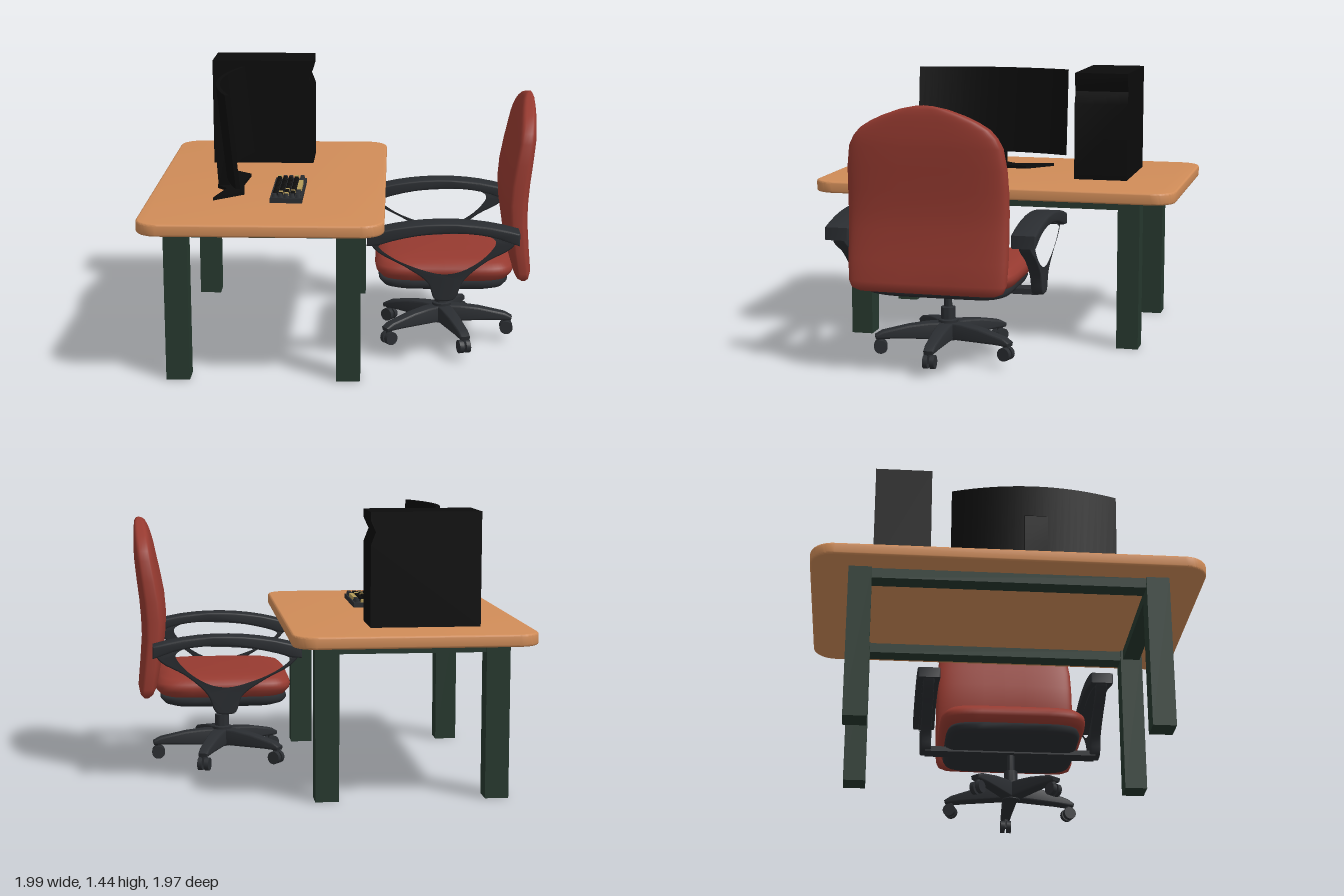
import * as THREE from 'three';
import { toCreasedNormals } from 'three/addons/utils/BufferGeometryUtils.js';

const material = (color) => new THREE.MeshStandardMaterial({ color });
const WOOD = material(0xd08c58), GREEN = material(0x26382e), RED = material(0x963a30);
const DARK = material(0x2a2d31), BLACK = material(0x0b0b0b), GOLD = material(0xb39a58);

function add(parent, name, geometry, mat, x = 0, y = 0, z = 0) {
  const mesh = new THREE.Mesh(geometry, mat);
  mesh.name = name;
  mesh.position.set(x, y, z);
  parent.add(mesh);
  return mesh;
}

function group(parent, name, x = 0, y = 0, z = 0) {
  const g = new THREE.Group();
  g.name = name;
  g.position.set(x, y, z);
  parent.add(g);
  return g;
}

// Box given by its limits on each axis
function block(parent, name, mat, [x0, x1], [y0, y1], [z0, z1]) {
  return add(parent, name, new THREE.BoxGeometry(x1 - x0, y1 - y0, z1 - z0), mat,
    (x0 + x1) / 2, (y0 + y1) / 2, (z0 + z1) / 2);
}

const polygon = (pts) => new THREE.Shape(pts.map(([x, y]) => new THREE.Vector2(x, y)));

// Smooth closed outline through a few points
function smoothOutline(pts, n = 48) {
  const curve = new THREE.CatmullRomCurve3(pts.map(([x, y]) => new THREE.Vector3(x, y, 0)), true);
  return curve.getPoints(n).slice(0, n).map((p) => new THREE.Vector2(p.x, p.y));
}

// Extrusion centred on z = 0, total thickness includes the bevel
function slab(shape, thickness, bevel = 0) {
  const g = new THREE.ExtrudeGeometry(shape, {
    depth: thickness - 2 * bevel, bevelEnabled: bevel > 0, bevelSize: bevel,
    bevelThickness: bevel, bevelOffset: -bevel, bevelSegments: 3, curveSegments: 10,
  });
  g.translate(0, 0, -thickness / 2 + bevel);
  return toCreasedNormals(g, 0.6);
}

// Padded form lofted upward through superellipse rings: [y, centreX, radiusX, radiusZ]
function cushion(rows, power, n = 64) {
  const pos = [], index = [];
  const bend = (v) => Math.sign(v) * Math.abs(v) ** (2 / power);
  rows.forEach(([y, cx, rx, rz], i) => {
    for (let j = 0; j < n; j++) {
      const a = (j / n) * Math.PI * 2;
      pos.push(cx + rx * bend(Math.cos(a)), y, rz * bend(Math.sin(a)));
      if (i === rows.length - 1) continue;
      const p = i * n + j, q = i * n + ((j + 1) % n);
      index.push(p, p + n, q, q, p + n, q + n);
    }
  });
  const g = new THREE.BufferGeometry();
  g.setAttribute('position', new THREE.Float32BufferAttribute(pos, 3));
  g.setIndex(index);
  g.computeVertexNormals();
  return g;
}

function buildDesk(root) {
  const desk = group(root, 'desk');
  const w = 0.61, d = 0.985, r = 0.12;
  const s = new THREE.Shape();
  s.absarc(w - r, d - r, r, 0, Math.PI / 2);
  s.absarc(-w + r, d - r, r, Math.PI / 2, Math.PI);
  s.absarc(-w + r, -d + r, r, Math.PI, Math.PI * 1.5);
  s.absarc(w - r, -d + r, r, Math.PI * 1.5, Math.PI * 2);
  add(desk, 'deskTop', slab(s, 0.062, 0.01).rotateX(-Math.PI / 2), WOOD, -0.39, 0.829, -0.003);
  for (const x of [-0.82, 0.04]) {
    for (const z of [-0.74, 0.74])
      block(desk, 'deskLeg', GREEN, [x - 0.06, x + 0.06], [0, 0.8], [z - 0.058, z + 0.058]);
    block(desk, 'sideRail', GREEN, [x - 0.045, x + 0.045], [0.745, 0.8], [-0.69, 0.69]);
  }
  for (const z of [-0.74, 0.74])
    block(desk, 'endRail', GREEN, [-0.77, -0.01], [0.745, 0.8], [z - 0.045, z + 0.045]);
}

function buildComputer(root) {
  // Tower with a notched front
  const profile = polygon([[-0.75, 0.86], [-0.19, 0.86], [-0.19, 1.275], [-0.215, 1.34],
    [-0.19, 1.395], [-0.19, 1.44], [-0.75, 1.44]]);
  add(root, 'computerTower', slab(profile, 0.29), BLACK, 0, 0, -0.535);

  // Curved, slightly tilted screen on a crescent foot
  const monitor = group(root, 'monitor', -0.63, 0, 0.157);
  const screen = new THREE.BoxGeometry(0.022, 0.48, 0.87, 1, 1, 24);
  const p = screen.attributes.position;
  for (let i = 0; i < p.count; i++)
    p.setX(i, p.getX(i) + 0.45 * p.getZ(i) ** 2 - 0.1 * p.getY(i));
  screen.computeVertexNormals();
  add(monitor, 'screen', screen, BLACK, 0, 1.185, 0);
  const foot = polygon([[-0.03, -0.335], [0.12, -0.205], [0.1, 0], [0.12, 0.205],
    [-0.03, 0.335], [0.02, 0.13], [-0.035, 0.06], [-0.035, -0.06], [0.02, -0.13]]);
  add(monitor, 'monitorFoot', slab(foot, 0.016).rotateX(Math.PI / 2), BLACK, 0, 0.868, 0);
  const neck = polygon([[-0.03, 0.87], [0.03, 0.87], [0.005, 1.05], [-0.015, 1.26],
    [-0.045, 1.24], [-0.045, 1.1]]);
  add(monitor, 'monitorNeck', slab(neck, 0.12), BLACK);
}

function buildKeyboard(root) {
  const keyboard = group(root, 'keyboard', -0.2825, 0.86, 0.327);
  block(keyboard, 'keyboardCase', DARK, [-0.082, 0.082], [0.004, 0.03], [-0.226, 0.226]);
  const gold = ['0,0', '3,0', '2,10', '1,12', '2,13', '3,11'];
  const cap = new THREE.CylinderGeometry(0.0135, 0.0185, 0.018, 4).rotateY(Math.PI / 4);
  for (let row = 0; row < 5; row++)
    for (let col = 0; col < 15; col++) {
      if (row === 4 && col > 3 && col < 11) continue;
      const edge = col === 0 || col === 14 || row === 4;
      const mat = gold.includes(`${row},${col}`) ? GOLD : edge ? DARK : BLACK;
      add(keyboard, 'key', cap, mat, (row - 2) * 0.03, 0.039, (col - 7) * 0.029);
    }
  block(keyboard, 'spaceBar', GOLD, [0.048, 0.072], [0.03, 0.048], [-0.1, 0.1]);
}

function buildArmrest(chair, z) {
  const arm = group(chair, 'armrest', 0, 0, z);
  // Open loop running down into a stem
  const loop = new THREE.Shape(smoothOutline([[0.14, 0.7], [0.3, 0.755], [0.54, 0.775], [0.78, 0.755],
    [0.89, 0.71], [0.86, 0.655], [0.73, 0.58], [0.62, 0.48], [0.575, 0.385], [0.525, 0.375],
    [0.475, 0.385], [0.44, 0.47], [0.33, 0.55], [0.18, 0.635]], 64));
  const opening = smoothOutline([[0.18, 0.665], [0.32, 0.715], [0.54, 0.738], [0.74, 0.73],
    [0.79, 0.69], [0.74, 0.61], [0.62, 0.53], [0.52, 0.51], [0.4, 0.535], [0.25, 0.6]]);
  loop.holes.push(new THREE.Path(opening));
  add(arm, 'armLoop', slab(loop, 0.06, 0.008), DARK);
  // Broad arched pad
  const pad = new THREE.Shape();
  pad.moveTo(0.13, 0.67);
  pad.lineTo(0.133, 0.73);
  pad.bezierCurveTo(0.35, 0.8, 0.65, 0.815, 0.9, 0.74);
  pad.lineTo(0.9, 0.675);
  pad.lineTo(0.8, 0.71);
  pad.bezierCurveTo(0.65, 0.755, 0.4, 0.75, 0.19, 0.675);
  add(arm, 'armPad', slab(pad, 0.126, 0.01), DARK);
}

function buildChair(root) {
  const chair = group(root, 'chair', 0, 0, 0.122);
  add(chair, 'seat', cushion([[0.435, 0.53, 0, 0], [0.436, 0.53, 0.3, 0.35], [0.45, 0.53, 0.335, 0.385],
    [0.475, 0.53, 0.357, 0.402], [0.495, 0.53, 0.362, 0.405], [0.515, 0.53, 0.355, 0.402],
    [0.54, 0.53, 0.33, 0.38], [0.554, 0.53, 0.28, 0.33], [0.56, 0.53, 0.15, 0.2],
    [0.562, 0.53, 0, 0]], 6), RED);
  add(chair, 'seatPan', cushion([[0.385, 0.525, 0, 0], [0.386, 0.525, 0.28, 0.33], [0.4, 0.525, 0.32, 0.362],
    [0.42, 0.525, 0.338, 0.372], [0.44, 0.525, 0.33, 0.365], [0.445, 0.525, 0, 0]], 6), DARK);
  add(chair, 'backrest', cushion([[0.435, 0.935, 0, 0], [0.438, 0.935, 0.02, 0.345], [0.455, 0.932, 0.038, 0.385],
    [0.49, 0.928, 0.05, 0.4], [0.6, 0.912, 0.056, 0.405], [0.75, 0.895, 0.062, 0.405],
    [0.85, 0.893, 0.067, 0.405], [0.95, 0.901, 0.067, 0.404], [1.06, 0.918, 0.063, 0.4],
    [1.165, 0.935, 0.057, 0.385], [1.215, 0.941, 0.053, 0.36], [1.255, 0.946, 0.048, 0.325],
    [1.29, 0.951, 0.043, 0.27], [1.32, 0.956, 0.037, 0.205], [1.35, 0.962, 0.028, 0.12],
    [1.365, 0.966, 0.015, 0.05], [1.37, 0.967, 0, 0]], 4), RED);
  for (const side of [-1, 1]) buildArmrest(chair, side * 0.477);
  block(chair, 'armCrossbar', DARK, [0.48, 0.57], [0.376, 0.405], [-0.48, 0.48]);

  // Gas lift and hub
  const base = group(chair, 'swivelBase', 0.527, 0, 0.005);
  const lift = [[0, 0.11], [0.05, 0.11], [0.052, 0.215], [0.038, 0.22], [0.038, 0.28],
    [0.021, 0.285], [0.021, 0.39]].map(([x, y]) => new THREE.Vector2(x, y));
  add(base, 'gasLift', toCreasedNormals(new THREE.LatheGeometry(lift, 24), 0.6), DARK);

  // Five tapering legs with twin-wheel casters
  const legShape = polygon([[0, 0.115], [0.28, 0.12], [0.375, 0.118], [0.38, 0.138], [0.34, 0.16],
    [0.2, 0.19], [0.1, 0.202], [0, 0.203]]);
  const legGeo = slab(legShape, 0.08, 0.01);
  const lp = legGeo.attributes.position;
  for (let i = 0; i < lp.count; i++) lp.setZ(i, lp.getZ(i) * (1 - 0.9 * lp.getX(i)));
  const wheel = toCreasedNormals(new THREE.CylinderGeometry(0.035, 0.035, 0.024, 20).rotateX(Math.PI / 2), 0.6);
  for (let k = 0; k < 5; k++) {
    const spoke = group(base, 'spoke');
    spoke.rotation.y = (k * Math.PI * 2) / 5;
    add(spoke, 'baseLeg', legGeo, DARK);
    add(spoke, 'casterStem', new THREE.CylinderGeometry(0.016, 0.016, 0.06, 12), DARK, 0.35, 0.1, 0);
    for (const s of [-1, 1]) add(spoke, 'casterWheel', wheel, DARK, 0.35, 0.077, s * 0.018);
  }
}

export function createModel() {
  const root = new THREE.Group();
  root.name = 'workstation';
  buildDesk(root);
  buildComputer(root);
  buildKeyboard(root);
  buildChair(root);
  return root;
}
